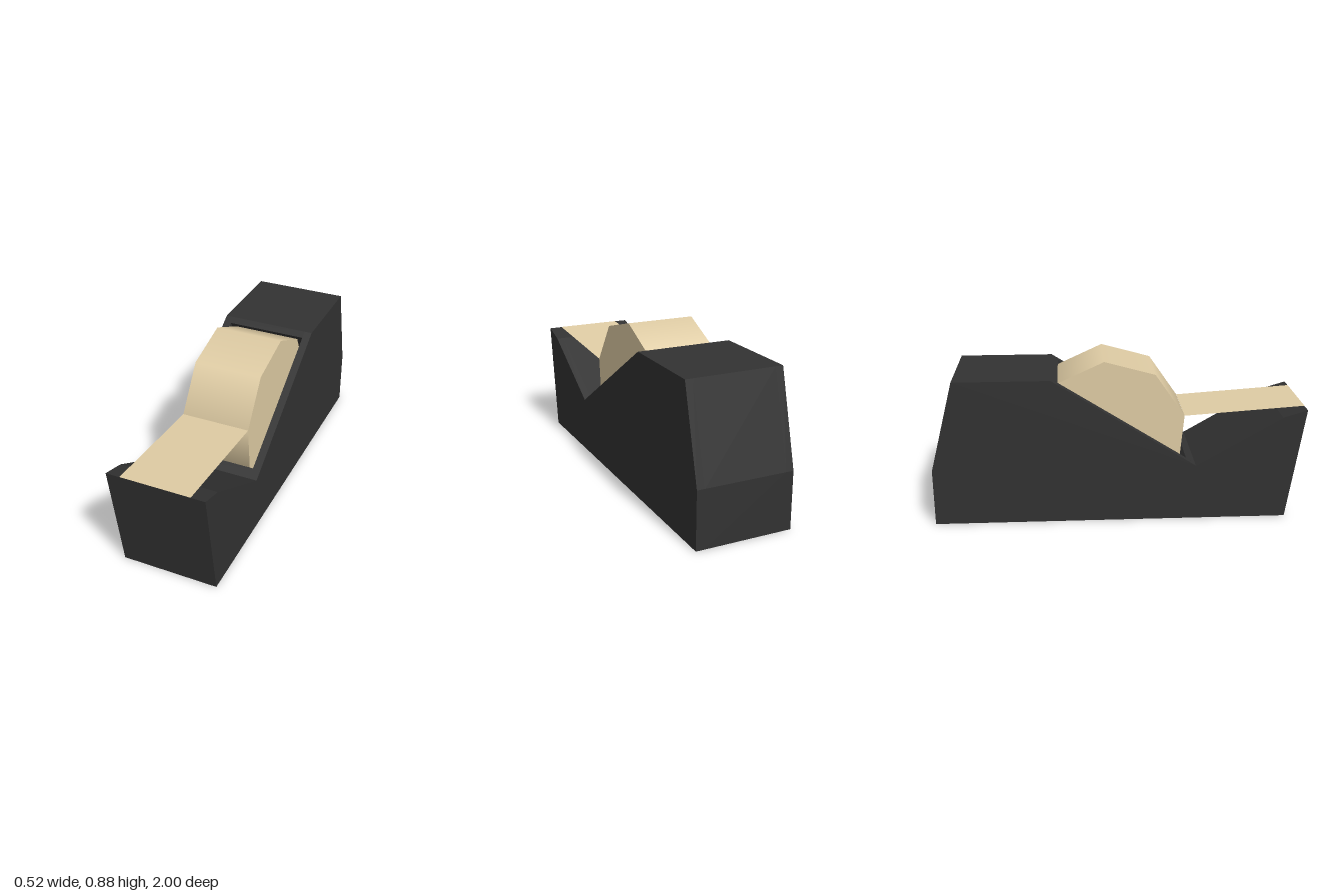
import * as THREE from 'three';

export function createModel() {
  const model = new THREE.Group();
  const bodyMat = new THREE.MeshStandardMaterial({ color: 0x323232 });
  bodyMat.name = 'charcoal plastic';
  const tapeMat = new THREE.MeshStandardMaterial({ color: 0xe0cda5, side: THREE.DoubleSide });
  tapeMat.name = 'tan tape';

  const add = (name, geometry, material) => {
    const mesh = new THREE.Mesh(geometry, material);
    mesh.name = name;
    model.add(mesh);
    return mesh;
  };

  // Side profile as [z, y], extruded across x
  const slab = (points, width) => {
    const shape = new THREE.Shape(points.map(([z, y]) => new THREE.Vector2(z, y)));
    return new THREE.ExtrudeGeometry(shape, { depth: width, bevelEnabled: false })
      .translate(0, 0, -width / 2)
      .rotateY(-Math.PI / 2);
  };

  const halfWidth = 0.261, pocketHalf = 0.219;
  const rear = [[-0.36, 0.8], [-0.87, 0.8], [-1, 0.31], [-1, 0]];
  const front = [[0.91, 0], [1, 0.613], [0.87, 0.575], [0.41, 0.31]];
  // Slot sunk at right angles into the sloping face
  const pocket = [[0.36, 0.342], [0.145, 0.004], [-0.54, 0.44], [-0.325, 0.778]];

  // Body: slotted core between two solid cheeks
  add('bodyCore', slab([...front, ...pocket, ...rear], pocketHalf * 2), bodyMat);
  for (const side of [-1, 1]) {
    const cheek = add(side > 0 ? 'leftCheek' : 'rightCheek',
      slab([...front, ...rear], halfWidth - pocketHalf), bodyMat);
    cheek.position.x = side * (halfWidth + pocketHalf) / 2;
  }

  // Nine-sided tape roll resting in the slot
  const tapeWidth = 0.373;
  const roll = add('tapeRoll',
    new THREE.CylinderGeometry(0.411, 0.411, tapeWidth, 9, 1, false, THREE.MathUtils.degToRad(14.6))
      .rotateZ(Math.PI / 2), tapeMat);
  roll.position.set(0, 0.466, -0.046);

  // Loose strip from the roll to the cutting lip
  const [z0, y0, z1, y1] = [0.352, 0.57, 1, 0.614];
  const strip = add('tapeStrip',
    new THREE.PlaneGeometry(tapeWidth, Math.hypot(z1 - z0, y1 - y0))
      .rotateX(-Math.PI / 2 - Math.atan2(y1 - y0, z1 - z0)), tapeMat);
  strip.position.set(0, (y0 + y1) / 2, (z0 + z1) / 2);

  return model;
}
